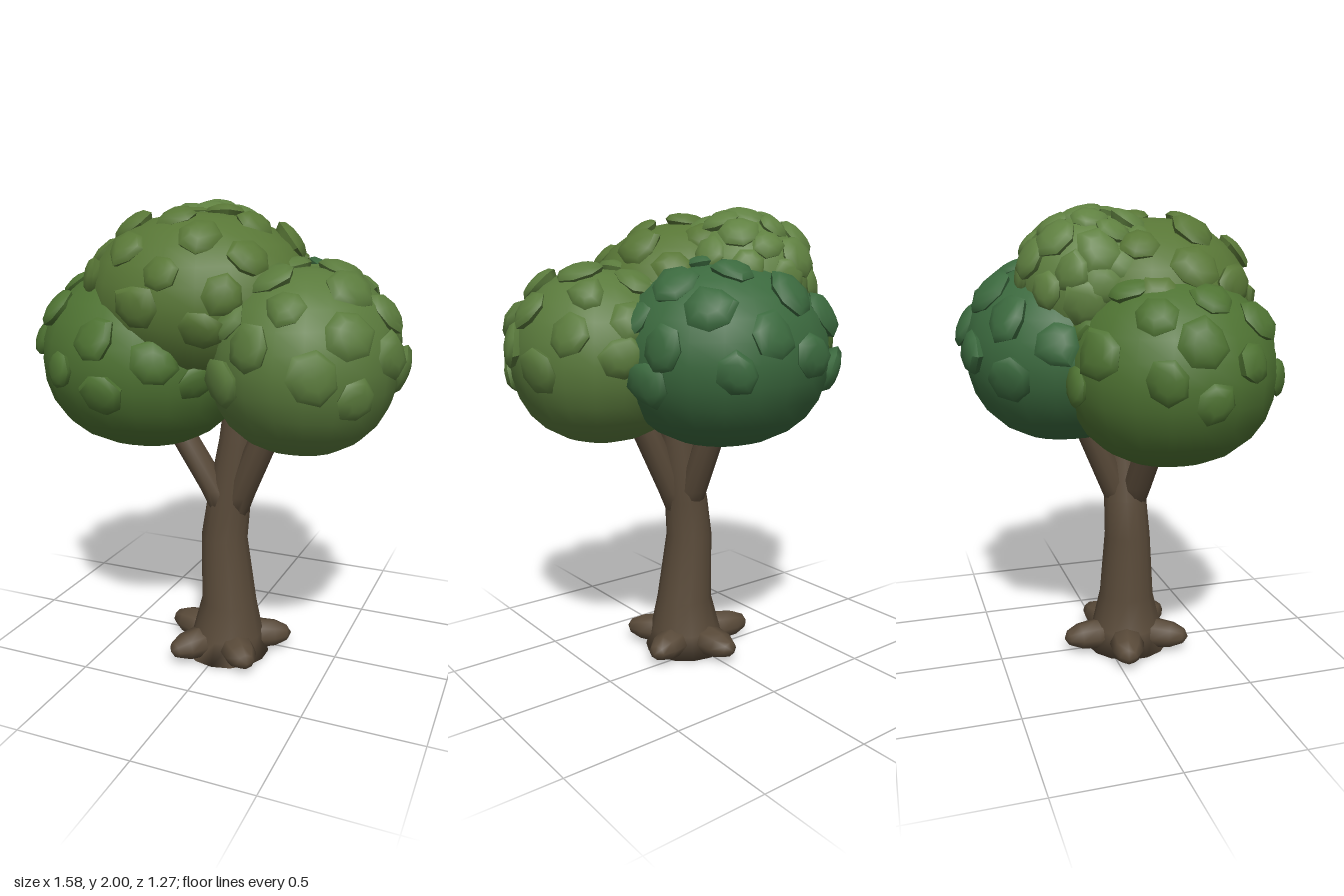
import * as THREE from 'three';
import { toCreasedNormals } from 'three/addons/utils/BufferGeometryUtils.js';

const bark = new THREE.MeshStandardMaterial({ color: 0x594a39 });

// Small seeded generator for leaf variation
let seed = 7;
const rand = () => (seed = (seed * 16807) % 2147483647) / 2147483647;

// Limb through rings [x, y, z, radius], each ring horizontal, closed at the foot
function limb(name, rings, sides = 12) {
  const pos = [], idx = [];
  for (const [x, y, z, r] of rings)
    for (let i = 0; i < sides; i++) {
      const a = (i / sides) * Math.PI * 2;
      pos.push(x + Math.sin(a) * r, y, z + Math.cos(a) * r);
    }
  for (let k = 0; k < rings.length - 1; k++)
    for (let i = 0; i < sides; i++) {
      const a = k * sides + i, b = k * sides + ((i + 1) % sides);
      idx.push(a, b, b + sides, a, b + sides, a + sides);
    }
  for (let i = 1; i < sides - 1; i++) idx.push(0, i + 1, i);
  const g = new THREE.BufferGeometry();
  g.setAttribute('position', new THREE.Float32BufferAttribute(pos, 3));
  g.setIndex(idx);
  g.computeVertexNormals();
  const mesh = new THREE.Mesh(g, bark);
  mesh.name = name;
  return mesh;
}

// Domed leaf clump with an uneven polygonal rim, facing +y
function leafGeometry(size) {
  const profile = [[0.8, -0.32], [1, 0], [0.82, 0.22], [0.45, 0.34], [0.001, 0.38]]
    .map(([x, y]) => new THREE.Vector2(x, y));
  const sides = 7;
  const g = new THREE.LatheGeometry(profile, sides);
  const p = g.attributes.position;
  const wobble = Array.from({ length: sides }, () => 0.85 + rand() * 0.28);
  for (let i = 0; i < p.count; i++) {
    const w = wobble[Math.floor(i / profile.length) % sides] * size;
    p.setXYZ(i, p.getX(i) * w, p.getY(i) * size, p.getZ(i) * w);
  }
  g.deleteAttribute('uv');
  return toCreasedNormals(g, 0.95);
}

// Foliage masses: centre, radii, colour, leaf count over a whole sphere, leaf size
const masses = [
  { name: 'rightFoliage', c: [-0.32, 1.355, 0.16], r: [0.435, 0.38, 0.415], color: 0x4e7232, n: 46, size: 0.09 },
  { name: 'leftFoliage', c: [0.39, 1.385, 0.2], r: [0.365, 0.365, 0.39], color: 0x5a7a3c, n: 42, size: 0.088 },
  { name: 'topFoliage', c: [-0.07, 1.605, 0.15], r: [0.455, 0.345, 0.405], color: 0x587636, n: 46, size: 0.088 },
  { name: 'crownFoliage', c: [-0.13, 1.68, -0.1], r: [0.28, 0.28, 0.295], color: 0x5f8040, n: 62, size: 0.085 },
  { name: 'backFoliage', c: [0.035, 1.4, -0.19], r: [0.44, 0.375, 0.41], color: 0x3b693e, n: 44, size: 0.09 },
];

const inside = (p, m) => Math.hypot(...p.toArray().map((v, i) => (v - m.c[i]) / m.r[i])) < 0.88;

// Pushes a direction out to a slightly squarish ball
const squarish = (d) => {
  const k = Math.abs(d.x) ** 2.25 + Math.abs(d.y) ** 2.25 + Math.abs(d.z) ** 2.25;
  return d.multiplyScalar(k ** (-1 / 2.25));
};

function bodyGeometry(radii) {
  const g = new THREE.SphereGeometry(1, 20, 14);
  const p = g.attributes.position, n = g.attributes.normal, v = new THREE.Vector3();
  for (let i = 0; i < p.count; i++) {
    v.fromBufferAttribute(p, i);
    n.setXYZ(i, ...v.clone().divide(radii).normalize().toArray());
    p.setXYZ(i, ...squarish(v).multiply(radii).toArray());
  }
  return g;
}

function foliage(m) {
  const group = new THREE.Group();
  group.name = m.name;
  const material = new THREE.MeshStandardMaterial({ color: m.color });
  const centre = new THREE.Vector3(...m.c), radii = new THREE.Vector3(...m.r);

  const body = new THREE.Mesh(bodyGeometry(radii), material);
  body.name = m.name + 'Body';
  body.position.copy(centre);
  group.add(body);

  // Leaf clumps spiral over the upper part, skipping those buried in a neighbour
  const up = new THREE.Vector3(0, 1, 0);
  for (let i = 0; i < m.n; i++) {
    const y = 1 - (2 * (i + 0.5)) / m.n;
    if (y < -0.27) break;
    const a = i * 2.39996 + m.c[0] * 9 + (rand() - 0.5) * 0.25, s = Math.sqrt(1 - y * y);
    const dir = new THREE.Vector3(Math.cos(a) * s, y, Math.sin(a) * s);
    const spot = squarish(dir.clone()).multiply(radii).add(centre);
    const size = m.size * (0.85 + rand() * 0.28);
    if (masses.some((o) => o !== m && inside(spot, o))) continue;
    const leaf = new THREE.Mesh(leafGeometry(size), material);
    leaf.name = m.name + 'Leaf';
    leaf.position.copy(spot);
    // Each clump leans a little away from the surface normal
    const lean = new THREE.Vector3(rand() - 0.5, rand() - 0.5, rand() - 0.5).multiplyScalar(0.35);
    const normal = dir.clone().divide(radii).normalize().add(lean).normalize();
    leaf.quaternion.setFromUnitVectors(up, normal)
      .multiply(new THREE.Quaternion().setFromAxisAngle(up, rand() * 6.28));
    group.add(leaf);
  }
  return group;
}

export function createModel() {
  seed = 7;
  const tree = new THREE.Group();
  tree.name = 'tree';

  // Trunk and branches
  tree.add(limb('trunk', [
    [0.015, 0, 0.1, 0.19], [0.02, 0.1, 0.1, 0.16], [0.025, 0.25, 0.1, 0.125],
    [0, 0.55, 0.095, 0.104], [0.02, 0.72, 0.09, 0.097], [0.06, 1.0, 0.09, 0.08], [0.08, 1.25, 0.09, 0.065],
  ], 14));
  tree.add(limb('rightBranch', [[0.01, 0.66, 0.12, 0.05], [-0.03, 0.78, 0.13, 0.066], [-0.16, 1.0, 0.15, 0.064], [-0.26, 1.17, 0.16, 0.055]], 10));
  tree.add(limb('leftBranch', [[0.05, 0.64, 0.1, 0.05], [0.08, 0.76, 0.11, 0.066], [0.185, 1.0, 0.13, 0.066], [0.26, 1.17, 0.15, 0.06]], 10));
  tree.add(limb('backBranch', [[0.02, 0.66, 0.07, 0.05], [0.02, 0.77, 0.04, 0.066], [0.01, 1.0, -0.06, 0.064], [0, 1.17, -0.13, 0.055]], 10));

  // Five stubby roots around the foot, pointing outward
  const rootShape = new THREE.SphereGeometry(1, 8, 6).rotateZ(-Math.PI / 2);
  for (let i = 0; i < 5; i++) {
    const a = 0.87 + (i * Math.PI * 2) / 5;
    const root = new THREE.Mesh(rootShape, bark);
    root.name = 'root';
    root.scale.set(0.15, 0.066, 0.078);
    root.position.set(0.005 + Math.cos(a) * 0.15, 0.068, 0.09 + Math.sin(a) * 0.15);
    root.rotation.y = -a;
    tree.add(root);
  }

  // Foliage
  for (const m of masses) tree.add(foliage(m));
  return tree;
}
